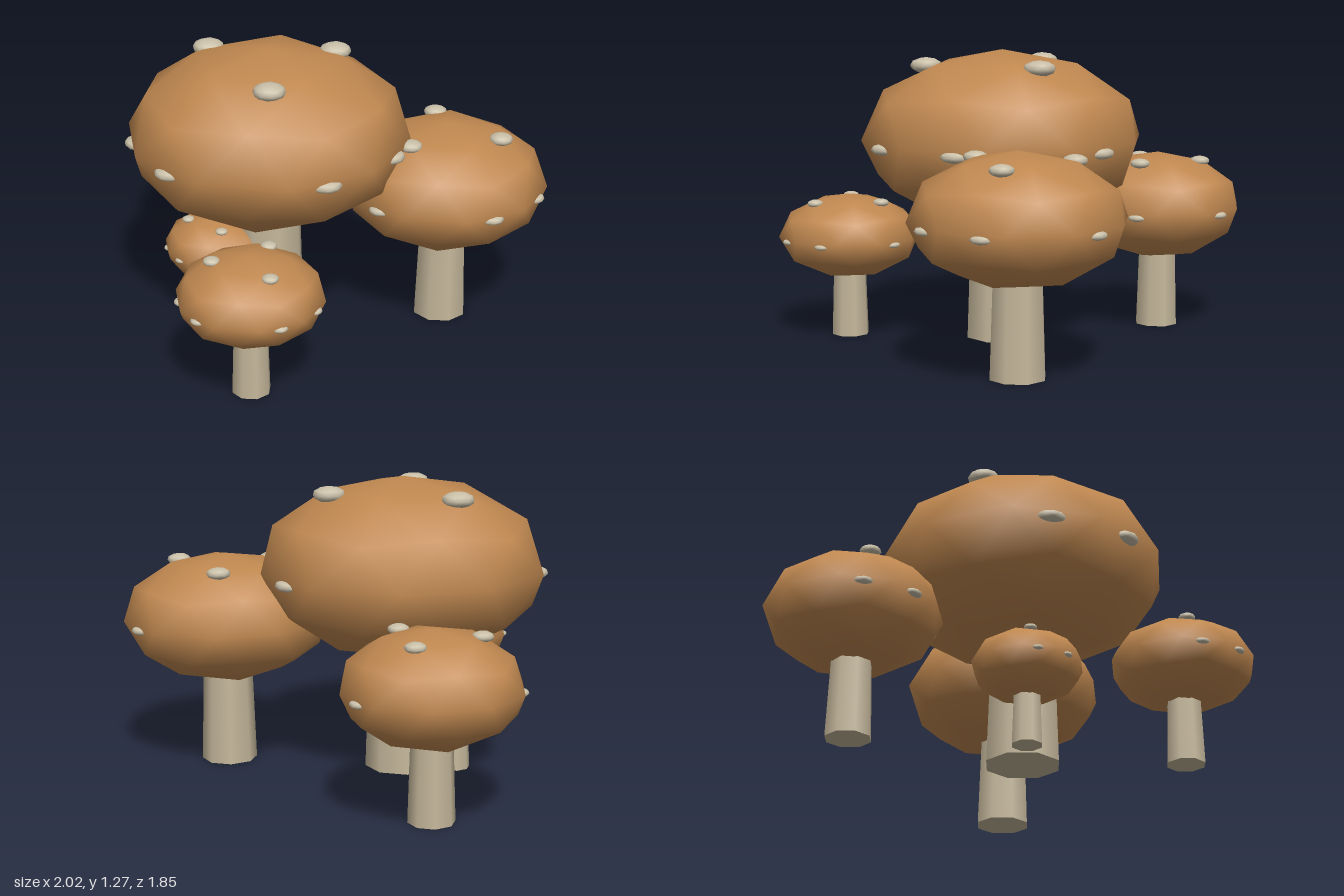
import * as THREE from 'three';

const mat = (name, color) => {
  const m = new THREE.MeshStandardMaterial({ color });
  m.name = name;
  return m;
};

// Icosphere with a corner at its top, squashed to an ellipsoid
function ellipsoid(r, h) {
  const g = new THREE.IcosahedronGeometry(1, 1);
  g.rotateZ(Math.atan2(2, 1 + Math.sqrt(5)));
  g.scale(r, h, r);
  return g;
}

// Offsets of the spots are [x, z] from the cap's axis
const MUSHROOMS = [
  { name: 'largeMushroom', x: -0.1, z: -0.02, r: 0.62, y: 0.885, h: 0.385, stem: 0.162, spot: 0.07,
    spots: [[-0.32, -0.05], [0.19, -0.26], [0.16, 0.29]] },
  { name: 'rightMushroom', x: 0.57, z: -0.4, r: 0.45, y: 0.645, h: 0.275, stem: 0.12, spot: 0.052,
    spots: [[-0.13, -0.19], [0.24, -0.04], [-0.07, 0.22]] },
  { name: 'backMushroom', x: -0.64, z: -0.55, r: 0.375, y: 0.55, h: 0.24, stem: 0.097, spot: 0.045,
    spots: [[-0.05, -0.18], [-0.14, 0.14], [0.18, 0.02]] },
  { name: 'frontMushroom', x: 0.15, z: 0.61, r: 0.312, y: 0.445, h: 0.185, stem: 0.083, spot: 0.036,
    spots: [[-0.14, 0.07], [0.14, 0.09], [0, -0.16]] },
  { name: 'smallMushroom', x: -0.305, z: 0.085, r: 0.235, y: 0.345, h: 0.147, stem: 0.066, spot: 0.028,
    spots: [[-0.11, 0.06], [0.08, 0.1], [0.04, -0.12]] },
];

// Directions, in degrees, of the spots half sunk into each rim
const RIM_ANGLES = [-71, -5, 37, 109, 146];

export function createModel() {
  const model = new THREE.Group();
  model.name = 'mushroomCluster';
  const capMat = mat('cap brown', 0xc08850);
  const stemMat = mat('stem beige', 0xc4b69a);
  const spotMat = mat('spot cream', 0xc9bfa8);

  for (const m of MUSHROOMS) {
    const group = new THREE.Group();
    group.name = m.name;
    group.position.set(m.x, 0, m.z);

    const add = (name, geometry, material, x, y, z) => {
      const mesh = new THREE.Mesh(geometry, material);
      mesh.name = name;
      mesh.position.set(x, y, z);
      group.add(mesh);
    };

    // Tapered stem reaching up inside the cap
    const stemHeight = m.y - m.h * 0.5;
    add('stem', new THREE.CylinderGeometry(m.stem * 0.86, m.stem, stemHeight, 8), stemMat, 0, stemHeight / 2, 0);
    add('cap', ellipsoid(m.r, m.h), capMat, 0, m.y, 0);

    // Flat pebble spots around the crown
    for (const [x, z] of m.spots) {
      const y = m.y + m.h * Math.sqrt(1 - (x * x + z * z) / (m.r * m.r));
      add('spot', ellipsoid(m.spot, m.spot * 0.5), spotMat, x, y - m.spot * 0.12, z);
    }

    // Sunken spots that barely show at the rim
    for (const deg of RIM_ANGLES) {
      const a = THREE.MathUtils.degToRad(deg);
      const d = m.r * 0.89;
      add('rimSpot', ellipsoid(m.spot, m.spot * 0.4), spotMat, d * Math.cos(a), m.y - m.h * 0.06, d * Math.sin(a));
    }
    model.add(group);
  }
  return model;
}
